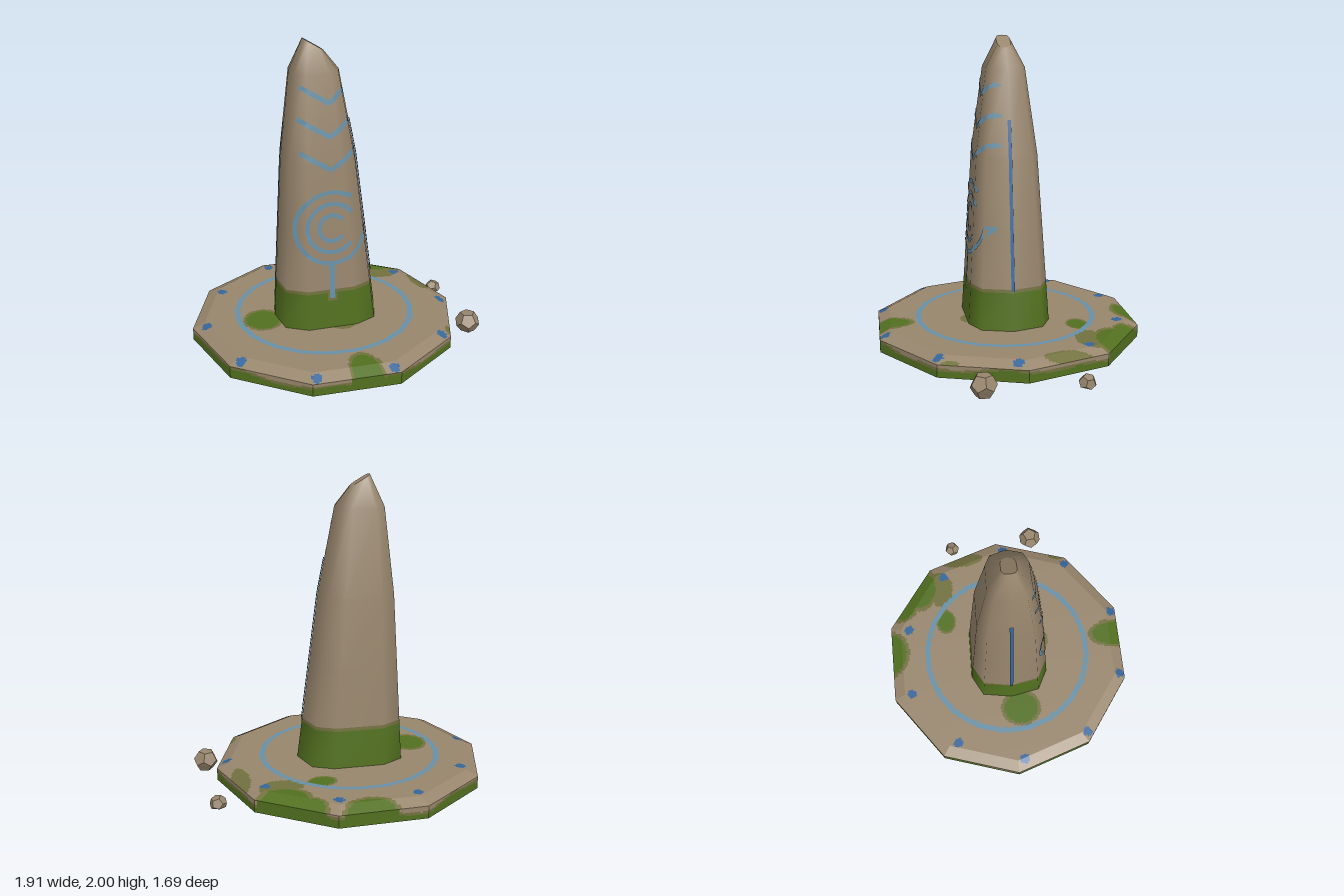
import * as THREE from 'three';

const mat = (name, color) => {
  const m = new THREE.MeshStandardMaterial({ color, side: THREE.DoubleSide });
  m.name = name;
  return m;
};
const stone = mat('stone', 0x98866d);
const moss = mat('moss', 0x52701f);
const thinMoss = mat('thinMoss', 0x72713f);
const paleBlue = mat('paleBlue', 0x6790a8);
const deepBlue = mat('deepBlue', 0x35659a);

const CX = -0.07; // axis of slab and pillar

function addMesh(group, name, geometry, material) {
  const m = new THREE.Mesh(geometry, material);
  m.name = name;
  group.add(m);
  return m;
}

function bufferGeometry(positions, index) {
  const g = new THREE.BufferGeometry();
  g.setAttribute('position', new THREE.Float32BufferAttribute(positions, 3));
  if (index) g.setIndex(index);
  g.computeVertexNormals();
  return g;
}

// ---- Slab: ten-sided shell, open below, painted cell by cell ----
const mossPatches = [ // x, z, radius x, radius z
  [0, -0.87, 0.15, 0.13], [0.5, -0.62, 0.16, 0.13], [0.36, -0.75, 0.1, 0.1],
  [0.21, -0.43, 0.08, 0.06], [-0.5, 0.06, 0.11, 0.12], [0, 0.82, 0.09, 0.17],
];
const thinPatches = [
  [0.47, -0.45, 0.14, 0.09], [0.7, -0.27, 0.06, 0.16], [0, 0.27, 0.07, 0.04], [0.68, 0.46, 0.04, 0.07],
];
const marks = [
  [-0.32, -0.72], [0.17, -0.71], [0.57, -0.42], [0.75, 0.05], [0.59, 0.51],
  [0.17, 0.81], [-0.31, 0.81], [-0.72, 0.52], [-0.87, 0.05], [-0.71, -0.41],
];
const inside = (list, x, z, k) => list.some(([px, pz, rx, rz]) => Math.hypot((x - px) / rx, (z - pz) / rz) < k);

function slabColour(x, y, z) {
  if (y < 0.109) {
    const a = Math.atan2(z, x - CX);
    const edge = 0.078 + 0.012 * Math.sin(5 * a + 1) + 0.008 * Math.sin(11 * a);
    if (y < edge || inside(mossPatches, x, z, 1.1)) return moss;
    return y < edge + 0.016 ? thinMoss : stone;
  }
  if (marks.some(([mx, mz]) => Math.hypot(x - mx, z - mz) < 0.033)) return deepBlue;
  if (Math.abs(Math.hypot(x - CX, z) - 0.585) < 0.018) return paleBlue;
  if (inside(mossPatches, x, z, 1)) return moss;
  if (inside(mossPatches, x, z, 1.2) || inside(thinPatches, x, z, 1)) return thinMoss;
  return stone;
}

function buildSlab() {
  const group = new THREE.Group();
  group.name = 'slab';
  const profile = []; // [radius, y] from the rim's foot to the middle
  for (let i = 0; i <= 8; i++) profile.push([0.89, 0.03 + 0.01 * i]);
  for (let i = 1; i <= 7; i++) profile.push([0.89 - 0.08 * i / 7, 0.11 + 0.035 * i / 7]);
  for (let i = 1; i <= 48; i++) profile.push([0.81 - 0.61 * i / 48, 0.145]);
  profile.push([0, 0.145]);
  const perSide = 30, around = perSide * 10;
  const point = (i, [r, y]) => {
    const side = Math.floor(i / perSide), t = (i % perSide) / perSide;
    const a = side * Math.PI / 5, b = a + Math.PI / 5;
    return [CX + r * ((1 - t) * Math.cos(a) + t * Math.cos(b)), y, r * ((1 - t) * Math.sin(a) + t * Math.sin(b))];
  };
  const buckets = new Map([stone, moss, thinMoss, paleBlue, deepBlue].map((m) => [m, []]));
  for (let j = 0; j < profile.length - 1; j++) {
    for (let i = 0; i < around; i++) {
      const a = point(i, profile[j]), b = point(i + 1, profile[j]);
      const c = point(i, profile[j + 1]), d = point(i + 1, profile[j + 1]);
      const mid = [0, 1, 2].map((k) => (a[k] + b[k] + c[k] + d[k]) / 4);
      const out = buckets.get(slabColour(...mid));
      out.push(...a, ...c, ...b);
      if (profile[j + 1][0] > 0) out.push(...b, ...c, ...d);
    }
  }
  for (const [m, p] of buckets) addMesh(group, 'slab ' + m.name, bufferGeometry(p), m);
  return group;
}

// ---- Pillar: tapering ten-sided sections ----
const section = [
  [1, 0], [0.83, 0.73], [0.45, 0.97], [-0.5, 1], [-0.9, 0.73],
  [-1, 0], [-0.9, -0.73], [-0.5, -1], [0.45, -0.97], [0.83, -0.73],
];
const rows = [ // y, left x, right x, half depth
  [0.145, -0.41, 0.285, 0.275], [1.25, -0.35, 0.14, 0.205], [1.8, -0.288, 0.03, 0.13], [1.96, -0.2, -0.07, 0.045],
];
function sizeAt(y) {
  let k = 0;
  while (k < rows.length - 2 && y > rows[k + 1][0]) k++;
  const t = (y - rows[k][0]) / (rows[k + 1][0] - rows[k][0]);
  const [x0, x1, depth] = [1, 2, 3].map((n) => THREE.MathUtils.lerp(rows[k][n], rows[k + 1][n], t));
  return { cx: (x0 + x1) / 2, hw: (x1 - x0) / 2, depth };
}
function frontZ(x, y) {
  const { cx, hw, depth } = sizeAt(y);
  const u = THREE.MathUtils.clamp((x - cx) / hw, -0.999, 0.999);
  let k = 0;
  while (section[k + 1][0] > u) k++;
  const [a, b] = [section[k], section[k + 1]];
  return depth * THREE.MathUtils.lerp(a[1], b[1], (u - a[0]) / (b[0] - a[0]));
}

function buildPillar() {
  const group = new THREE.Group();
  group.name = 'pillar';
  const levels = [0.145, 0.39, 0.412, 0.8, 1.25, 1.8, 1.96];
  const p = [], index = [], n = section.length;
  for (const y of levels) {
    const { cx, hw, depth } = sizeAt(y);
    const tilt = y > 1.9 ? 0.038 : 0; // broken, slanting tip
    for (const [u, w] of section) p.push(cx + u * hw, y - u * tilt, w * depth);
  }
  for (let j = 0; j < levels.length - 1; j++) {
    for (let i = 0; i < n; i++) {
      const a = j * n + i, b = j * n + (i + 1) % n;
      index.push(a, a + n, b, b, a + n, b + n);
    }
  }
  const g = bufferGeometry(p, index);
  g.addGroup(0, 6 * n, 0);
  g.addGroup(6 * n, 6 * n, 1);
  g.addGroup(12 * n, Infinity, 2);
  addMesh(group, 'pillarShaft', g, [moss, thinMoss, stone]);

  // Slanting cap
  const rim = p.slice(-3 * n), cap = [];
  for (let i = 1; i < n - 1; i++) cap.push(i + 1, i, 0);
  addMesh(group, 'pillarTip', bufferGeometry(rim, cap), stone);
  return group;
}

// ---- Painted carvings lying on the pillar ----
function strip(left, right) {
  const p = [], index = [];
  left.forEach((l, i) => {
    p.push(...l, ...right[i]);
    if (i) index.push(2 * i - 2, 2 * i - 1, 2 * i, 2 * i, 2 * i - 1, 2 * i + 1);
  });
  return bufferGeometry(p, index);
}
function frontStroke(path, width, lift = 0.006) {
  const drape = (x, y) => [x, y, frontZ(x, y) + lift];
  const left = [], right = [];
  path.forEach(([x, y], i) => {
    const a = path[Math.max(i - 1, 0)], b = path[Math.min(i + 1, path.length - 1)];
    const len = Math.hypot(b[0] - a[0], b[1] - a[1]);
    const nx = -(b[1] - a[1]) / len * width / 2, ny = (b[0] - a[0]) / len * width / 2;
    left.push(drape(x + nx, y + ny));
    right.push(drape(x - nx, y - ny));
  });
  return strip(left, right);
}
function subdivide(points, steps = 10) {
  const out = [points[0]];
  for (let k = 1; k < points.length; k++) {
    for (let i = 1; i <= steps; i++) {
      out.push([0, 1].map((c) => THREE.MathUtils.lerp(points[k - 1][c], points[k][c], i / steps)));
    }
  }
  return out;
}

function buildCarvings() {
  const group = new THREE.Group();
  group.name = 'carvings';
  // Chevrons
  for (const pts of [
    [[-0.25, 1.725], [-0.07, 1.62], [0.035, 1.7]],
    [[-0.27, 1.53], [-0.07, 1.415], [0.075, 1.51]],
    [[-0.265, 1.325], [-0.07, 1.21], [0.11, 1.325]],
  ]) addMesh(group, 'chevron', frontStroke(subdivide(pts), 0.03), paleBlue);
  // Broken rings: radius, start and end angle
  for (const [r, from, to] of [[0.235, 55, 355], [0.16, 35, 320], [0.085, 40, 320]]) {
    const path = [];
    for (let i = 0; i <= 48; i++) {
      const a = THREE.MathUtils.degToRad(from + (to - from) * i / 48);
      path.push([-0.07 + r * Math.cos(a), 0.83 + r * Math.sin(a)]);
    }
    addMesh(group, 'brokenRing', frontStroke(path, 0.027), paleBlue);
  }
  // Stem with a thin mossy halo
  addMesh(group, 'stemHalo', frontStroke(subdivide([[-0.075, 0.335], [-0.075, 0.41]]), 0.065, 0.003), thinMoss);
  addMesh(group, 'stem', frontStroke(subdivide([[-0.075, 0.355], [-0.075, 0.595]]), 0.034), paleBlue);
  // Upright line on each side
  for (const s of [1, -1]) {
    const line = (z) => [0.4, 0.8, 1.25, 1.48].map((y) => {
      const { cx, hw } = sizeAt(y);
      return [cx + s * (hw + 0.005), y, z];
    });
    addMesh(group, 'sideLine', strip(line(0.011 * s), line(-0.011 * s)), deepBlue);
  }
  return group;
}

// ---- Loose stones beside the slab ----
function buildPebble(name, x, y, z, r, turn) {
  const g = new THREE.DodecahedronGeometry(r).rotateX(turn).rotateY(turn * 2).translate(x, y, z);
  const p = g.attributes.position;
  for (let i = 0; i < p.count; i++) p.setY(i, Math.max(p.getY(i), 0));
  g.computeVertexNormals();
  const m = new THREE.Mesh(g, stone);
  m.name = name;
  return m;
}

export function createModel() {
  const model = new THREE.Group();
  model.name = 'standingStone';
  model.add(
    buildSlab(), buildPillar(), buildCarvings(),
    buildPebble('largePebble', 0.87, 0.06, 0.275, 0.082, 0.5),
    buildPebble('smallPebble', 0.85, 0.025, -0.34, 0.055, 0.9),
  );
  return model;
}
